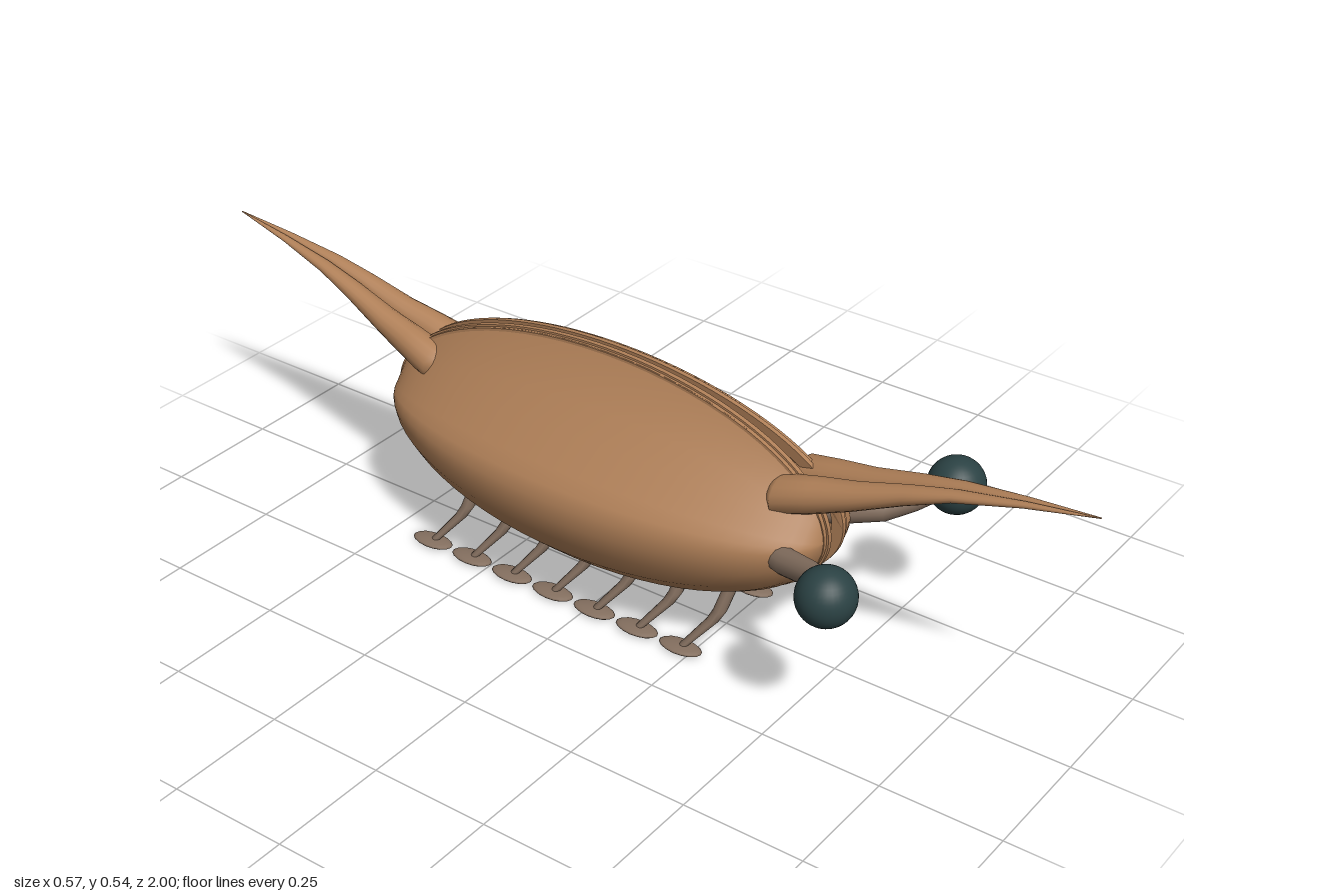
import * as THREE from 'three';

const shellMat = new THREE.MeshStandardMaterial({ color: 0xb08058, side: THREE.DoubleSide });
shellMat.name = 'shell brown';
const skinMat = new THREE.MeshStandardMaterial({ color: 0x857060 });
skinMat.name = 'skin grey brown';
const eyeMat = new THREE.MeshStandardMaterial({ color: 0x2b4244 });
eyeMat.name = 'eye dark teal';

// Joins rows of points (each a Vector3 list of equal length) into a smooth skin
function skin(rows, closed, capped) {
  const n = rows[0].length, pos = [], idx = [];
  rows.forEach(r => r.forEach(p => pos.push(p.x, p.y, p.z)));
  const steps = closed ? n : n - 1;
  for (let i = 0; i < rows.length - 1; i++) {
    for (let j = 0; j < steps; j++) {
      const k = (j + 1) % n;
      const a = i * n + j, b = i * n + k, c = a + n, d = b + n;
      idx.push(a, b, d, a, d, c);
    }
  }
  if (capped) {
    [0, rows.length - 1].forEach(i => {
      const start = pos.length / 3;
      rows[i].forEach(p => pos.push(p.x, p.y, p.z));
      for (let j = 1; j < n - 1; j++) {
        if (i === 0) idx.push(start, start + j + 1, start + j);
        else idx.push(start, start + j, start + j + 1);
      }
    });
  }
  const g = new THREE.BufferGeometry();
  g.setAttribute('position', new THREE.Float32BufferAttribute(pos, 3));
  g.setIndex(idx);
  g.computeVertexNormals();
  return g;
}

// Limb through stations [x, y, z, ra, rb]; rings lie across the rising axis 'y' or 'z'
function limb(stations, axis, sides = 12) {
  const rows = stations.map(([x, y, z, ra, rb]) => {
    const ring = [];
    for (let j = 0; j < sides; j++) {
      const a = (j / sides) * Math.PI * 2;
      const c = Math.cos(a), s = Math.sin(a);
      ring.push(axis === 'z'
        ? new THREE.Vector3(x + ra * c, y + rb * s, z)
        : new THREE.Vector3(x + ra * s, y, z + rb * c));
    }
    return ring;
  });
  return skin(rows, true, true);
}

function mirrored(geometry) {
  const g = geometry.index ? geometry.clone() : geometry.clone().setIndex(
    [...Array(geometry.attributes.position.count).keys()]);
  g.scale(-1, 1, 1);
  const ix = g.index.array;
  for (let i = 0; i < ix.length; i += 3) [ix[i + 1], ix[i + 2]] = [ix[i + 2], ix[i + 1]];
  g.computeVertexNormals();
  return g;
}

const CY = 0.30, CZ = -0.028, HY = 0.23, HZ = 0.517;
// The valves lean together towards the hinge
const lean = y => -0.016 * Math.max(0, (y - 0.34) / 0.19);

// Domed valve: roof-like above, rounded below
function valveGeometry() {
  const profile = [[-0.985, 0.036], [-0.94, 0.075], [-0.83, 0.122], [-0.65, 0.168], [-0.43, 0.2],
    [-0.22, 0.213], [-0.06, 0.212], [0.06, 0.2], [0.17, 0.176], [0.4, 0.126], [0.6, 0.084],
    [0.8, 0.046], [0.985, 0.02]];
  const rows = [];
  for (let i = 0; i <= 32; i++) {
    const a = Math.PI * (1 - i / 32);
    const z = CZ + Math.cos(a) * HZ * 0.99, w = Math.max(Math.sin(a), 0.002);
    rows.push(profile.map(([v, x]) => {
      const y = CY + v * HY * w;
      const edge = 0.036 + lean(y);
      return new THREE.Vector3(edge + Math.max(x - 0.036 - lean(CY + v * HY), 0) * w, y, z);
    }));
  }
  return skin(rows, false, false);
}

// Flat rim band following the valve outline
function rimGeometry(x0, x1, grow) {
  const shape = new THREE.Shape().absellipse(CZ, CY, HZ + grow, HY + grow, 0, Math.PI * 2);
  shape.holes.push(new THREE.Path().absellipse(CZ, CY, HZ - 0.025, HY - 0.025, 0, Math.PI * 2, true));
  const g = new THREE.ExtrudeGeometry(shape, { depth: x1 - x0, bevelEnabled: false, curveSegments: 48 });
  g.rotateY(-Math.PI / 2).translate(x1, 0, 0);
  const p = g.attributes.position;
  for (let i = 0; i < p.count; i++) p.setX(i, p.getX(i) + lean(p.getY(i)));
  g.computeVertexNormals();
  return g;
}

// Half of a spine, its inner side touching the middle plane
const half = ([z, y, w, h]) => [w / 2, y, z, w / 2, h];
const frontSpine = [[0.375, 0.375, 0.07, 0.03], [0.39, 0.376, 0.085, 0.04], [0.46, 0.396, 0.073, 0.037],
  [0.54, 0.42, 0.06, 0.029], [0.64, 0.457, 0.046, 0.02], [0.73, 0.486, 0.034, 0.012], [0.86, 0.513, 0.017, 0.006],
  [1, 0.535, 0.001, 0.001]];
const backSpine = frontSpine.map(([z, y, w, h]) => [-1 + (1 - z) * 0.92, y, w * 0.97, h]).reverse();

export function createModel() {
  const model = new THREE.Group();
  model.name = 'creature';

  const addPair = (name, geometry, material) => {
    const left = new THREE.Mesh(geometry, material);
    left.name = name + 'Left';
    const right = new THREE.Mesh(mirrored(geometry), material);
    right.name = name + 'Right';
    model.add(left, right);
  };

  // Shell
  addPair('valve', valveGeometry(), shellMat);
  addPair('outerRim', rimGeometry(0.03, 0.039, -0.004), shellMat);
  addPair('innerRim', rimGeometry(0.02, 0.03, 0), shellMat);
  addPair('frontSpine', limb(frontSpine.map(half), 'z', 16), shellMat);
  addPair('backSpine', limb(backSpine.map(half), 'z', 16), shellMat);

  // Soft body between the valves
  const body = new THREE.Mesh(new THREE.SphereGeometry(1, 24, 16), skinMat);
  body.name = 'body';
  body.scale.set(0.065, 0.08, 0.42);
  body.position.set(0, 0.24, -0.03);
  model.add(body);
  const tail = new THREE.Mesh(limb([[0, 0.175, -0.42, 0.03, 0.02], [0, 0.2, -0.3, 0.03, 0.04]], 'z'), skinMat);
  tail.name = 'tail';
  model.add(tail);

  // Eyes on stalks
  addPair('eyeStalk', limb([[0.085, 0.276, 0.39, 0.025, 0.025], [0.105, 0.282, 0.44, 0.027, 0.027],
    [0.135, 0.3, 0.52, 0.025, 0.024], [0.175, 0.318, 0.565, 0.027, 0.021],
    [0.222, 0.338, 0.605, 0.024, 0.018]], 'z'), skinMat);
  const eye = new THREE.SphereGeometry(0.057, 32, 20);
  eye.translate(0.228, 0.34, 0.607);
  addPair('eye', eye, eyeMat);

  // Seven pairs of legs with flat feet
  for (let i = 0; i < 7; i++) {
    const z = 0.292 - i * 0.104;
    addPair('leg' + (i + 1), limb([[0.122, 0.01, z - 0.062, 0.009, 0.009], [0.085, 0.068, z - 0.018, 0.015, 0.013],
      [0.074, 0.09, z - 0.008, 0.016, 0.014], [0.056, 0.142, z + 0.004, 0.016, 0.014]], 'y', 10), skinMat);
    const foot = new THREE.SphereGeometry(1, 16, 8);
    foot.scale(0.025, 0.0065, 0.048);
    foot.translate(0.124, 0.0075, z - 0.065);
    addPair('foot' + (i + 1), foot, skinMat);
  }
  return model;
}
